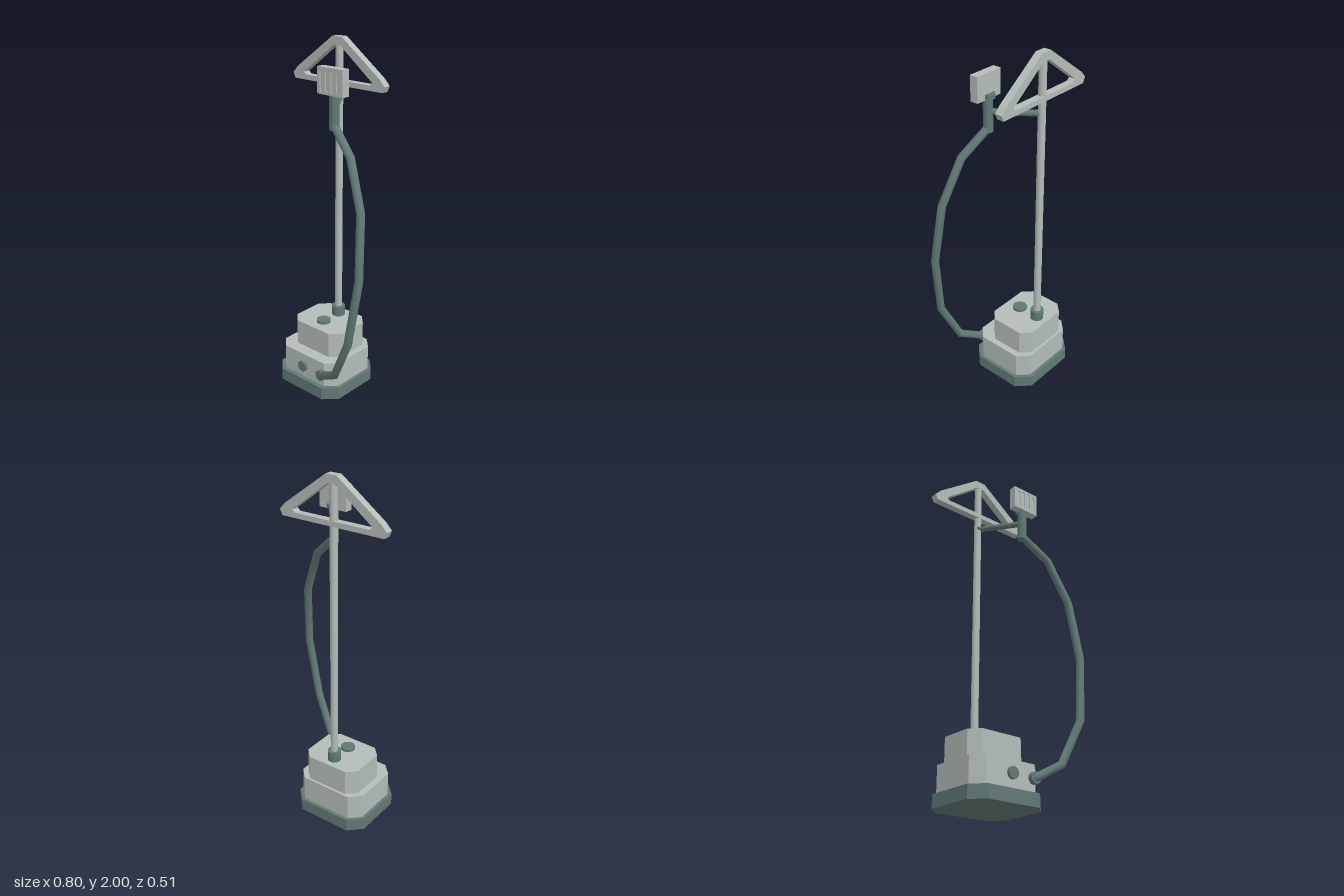
import * as THREE from 'three';

const casing = new THREE.MeshStandardMaterial({ color: 0xb3bdb9 });
casing.name = 'pale grey';
const trim = new THREE.MeshStandardMaterial({ color: 0x627976 });
trim.name = 'dark teal';

const AXIS = -0.0765; // x of the pole and tank centre
const POLE_Z = -0.151;
const V = (x, y, z) => new THREE.Vector3(x, y, z);

function add(group, name, geometry, material) {
  const mesh = new THREE.Mesh(geometry, material);
  mesh.name = name;
  group.add(mesh);
  return mesh;
}

// Cylinder running from point a to point b
function rod(group, name, a, b, radius, material) {
  const dir = b.clone().sub(a);
  const mesh = add(group, name, new THREE.CylinderGeometry(radius, radius, dir.length(), 24), material);
  mesh.position.copy(a).add(b).multiplyScalar(0.5);
  mesh.quaternion.setFromUnitVectors(V(0, 1, 0), dir.normalize());
  return mesh;
}

// Upright block with cut corners
function tier(group, name, [x0, x1], [z0, z1], [y0, y1], cut, material) {
  const shape = new THREE.Shape([
    [x0 + cut, -z1], [x1 - cut, -z1], [x1, -z1 + cut], [x1, -z0 - cut],
    [x1 - cut, -z0], [x0 + cut, -z0], [x0, -z0 - cut], [x0, -z1 + cut],
  ].map(([x, y]) => new THREE.Vector2(x, y)));
  const geometry = new THREE.ExtrudeGeometry(shape, { depth: y1 - y0, bevelEnabled: false });
  geometry.rotateX(-Math.PI / 2).translate(0, y0, 0);
  return add(group, name, geometry, material);
}

// Outline mirrored about the pole axis, from its left half (bottom to top)
function mirrored(half) {
  const right = half.map(([x, y]) => [-x, y]).reverse();
  return [...half, ...right].map(([x, y]) => new THREE.Vector2(x + AXIS, y));
}

// Straight-sided path with mitred bends
class BentPath extends THREE.Curve {
  constructor(points) {
    super();
    this.points = points;
  }
  getPoint(t, target = new THREE.Vector3()) {
    const f = t * (this.points.length - 1);
    const i = Math.min(Math.floor(f), this.points.length - 2);
    return target.lerpVectors(this.points[i], this.points[i + 1], f - i);
  }
  getPointAt(u, target) {
    return this.getPoint(u, target);
  }
  getTangentAt(u, target = new THREE.Vector3()) {
    const p = this.points, i = Math.round(u * (p.length - 1));
    target.set(0, 0, 0);
    if (i > 0) target.add(p[i].clone().sub(p[i - 1]).normalize());
    if (i < p.length - 1) target.add(p[i + 1].clone().sub(p[i]).normalize());
    return target.normalize();
  }
}

// Water tank in three steps, with filler cap and knob
function buildBody() {
  const g = new THREE.Group();
  g.name = 'body';
  tier(g, 'foot', [-0.308, 0.155], [-0.253, 0.172], [0, 0.072], 0.071, trim);
  tier(g, 'lowerTank', [-0.29, 0.137], [-0.234, 0.145], [0.072, 0.22], 0.06, casing);
  tier(g, 'upperTank', [-0.253, 0.1], [-0.22, 0.073], [0.22, 0.37], 0.053, casing);
  rod(g, 'fillerCap', V(AXIS, 0.37, -0.021), V(AXIS, 0.386, -0.021), 0.041, trim);
  rod(g, 'knob', V(AXIS, 0.15, 0.153), V(AXIS, 0.15, 0.168), 0.032, trim);
  rod(g, 'hosePort', V(0.066, 0.147, 0.1), V(0.066, 0.147, 0.172), 0.031, trim);
  return g;
}

// Pole with collar and triangular garment hanger
function buildStand() {
  const g = new THREE.Group();
  g.name = 'stand';
  rod(g, 'collar', V(AXIS, 0.37, POLE_Z), V(AXIS, 0.43, POLE_Z), 0.038, trim);
  rod(g, 'pole', V(AXIS, 0.37, POLE_Z), V(AXIS, 1.98, POLE_Z), 0.021, casing);

  // The hole runs against the outline so its walls face inwards
  const outline = new THREE.Shape(mirrored([[-0.309, 1.745], [-0.323, 1.777], [-0.29, 1.812], [-0.032, 2]]));
  const opening = mirrored([[-0.225, 1.773], [-0.241, 1.788], [-0.022, 1.955]]).reverse();
  outline.holes.push(new THREE.Path(opening));
  const hanger = new THREE.ExtrudeGeometry(outline, { depth: 0.042, bevelEnabled: false });
  add(g, 'hanger', hanger.translate(0, 0, POLE_Z - 0.021), casing);
  return g;
}

// Steam head: back block with a slotted front plate
function buildSteamHead() {
  const g = new THREE.Group();
  g.name = 'steamHead';
  const w = 0.17, h = 0.138, depth = 0.047, plate = 0.005;
  add(g, 'headBlock', new THREE.BoxGeometry(w, h, depth - plate), casing).position.z = -plate / 2;

  const face = new THREE.Shape([[-w, -h], [w, -h], [w, h], [-w, h]].map(([x, y]) => new THREE.Vector2(x / 2, y / 2)));
  for (let i = 0; i < 4; i++) {
    const x = (i - 1.5) * 0.037, r = 0.012, s = 0.043;
    const slot = new THREE.Path();
    slot.absarc(x, s, r, 0, Math.PI);
    slot.absarc(x, -s, r, Math.PI, 2 * Math.PI);
    slot.closePath();
    face.holes.push(slot);
  }
  const front = new THREE.ExtrudeGeometry(face, { depth: plate, bevelEnabled: false, curveSegments: 6 });
  add(g, 'slottedPlate', front, casing).position.z = depth / 2 - plate;
  g.position.set(0.084, 1.816, 0.0785);
  return g;
}

// Handle, its bracket to the pole, and the hose down to the tank
function buildSteamLine() {
  const g = new THREE.Group();
  g.name = 'steamLine';
  const hx = 0.083, hz = 0.066;
  rod(g, 'handle', V(hx, 1.566, hz), V(hx, 1.76, hz), 0.026, trim);
  rod(g, 'handleCollar', V(hx, 1.75, 0.061), V(hx, 1.777, 0.061), 0.034, trim);
  rod(g, 'bracketArm', V(AXIS, 1.675, POLE_Z), V(hx, 1.675, hz), 0.017, trim);
  add(g, 'bracketEnd', new THREE.SphereGeometry(0.017, 16, 10), trim).position.set(AXIS, 1.675, POLE_Z + 0.01);

  const path = [
    V(0.07, 0.147, 0.16), V(0.211, 0.23, 0.203), V(0.329, 0.48, 0.231), V(0.376, 0.85, 0.204),
    V(0.345, 1.2, 0.16), V(0.235, 1.457, 0.114), V(0.085, 1.586, 0.066),
  ];
  const hose = new THREE.TubeGeometry(new BentPath(path), path.length - 1, 0.0225, 16);
  add(g, 'hose', hose, trim);
  add(g, 'hoseEnd', new THREE.SphereGeometry(0.0225, 16, 10), trim).position.copy(path[0]);
  return g;
}

export function createModel() {
  const model = new THREE.Group();
  model.name = 'garmentSteamer';
  model.add(buildBody(), buildStand(), buildSteamHead(), buildSteamLine());
  return model;
}
